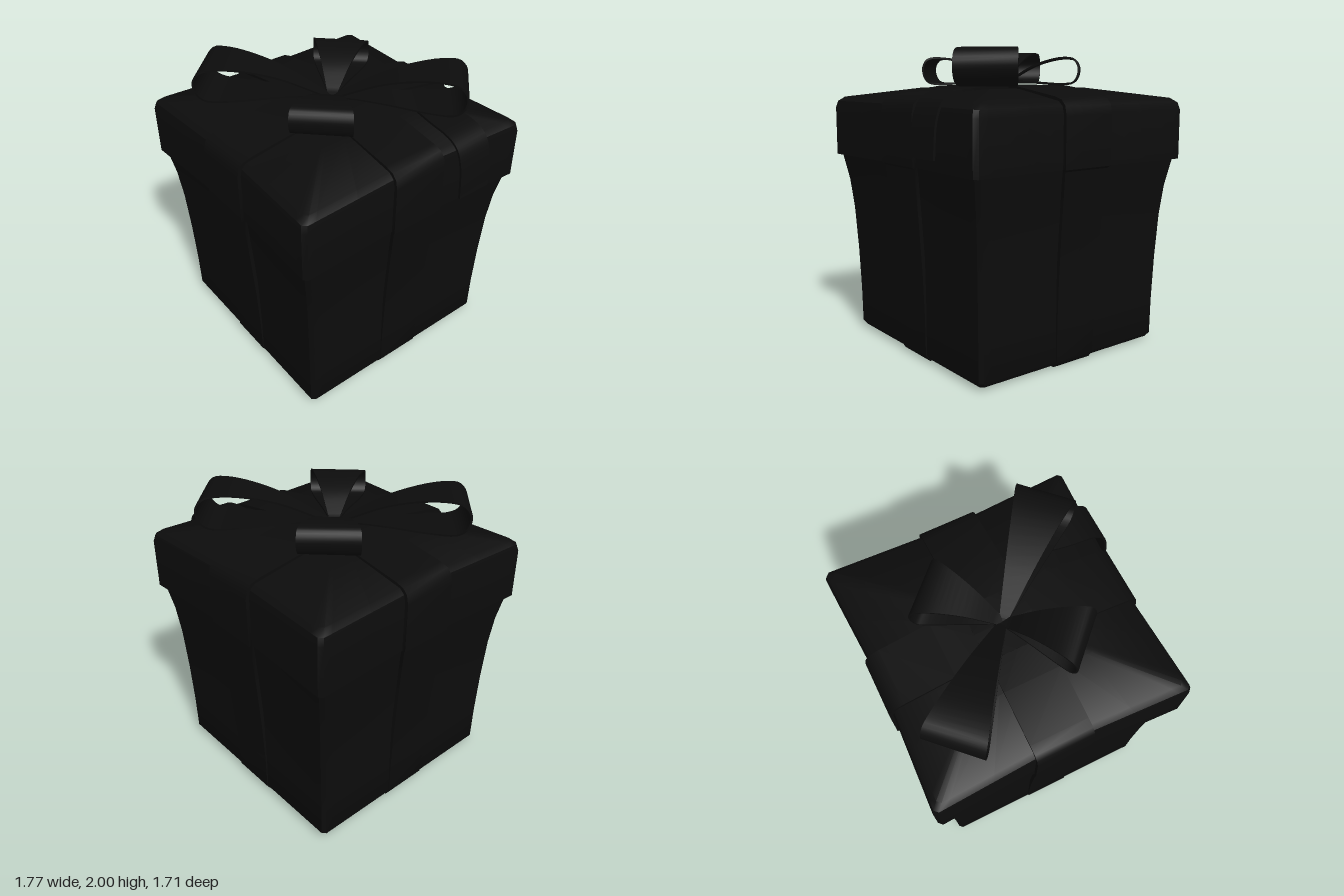
import * as THREE from 'three';
import { toCreasedNormals } from 'three/addons/utils/BufferGeometryUtils.js';

const material = new THREE.MeshStandardMaterial({ color: 0x0c0c0c, side: THREE.DoubleSide });

function makeMesh(name, positions, indices, crease = 0.6) {
  const g = new THREE.BufferGeometry();
  g.setAttribute('position', new THREE.Float32BufferAttribute(positions, 3));
  g.setIndex(indices);
  const mesh = new THREE.Mesh(toCreasedNormals(g, crease), material);
  mesh.name = name;
  return mesh;
}

// Stacks square rings [y, half size, pinch of the side middles] and caps both ends.
function squareLoft(name, rings, topY) {
  const steps = [-0.97, -0.9, -0.55, -0.22, 0.22, 0.55, 0.9, 0.97];
  const n = steps.length * 4;
  const pos = [], idx = [];
  for (const [y, half, pinch] of rings) {
    for (let side = 0; side < 4; side++) {
      for (const t of steps) {
        let x = t * half;
        let z = half - pinch * Math.min(1, (1 - Math.abs(t)) / 0.78);
        for (let k = 0; k < side; k++) [x, z] = [z, -x];
        pos.push(x, y, z);
      }
    }
  }
  const last = (rings.length - 1) * n;
  const bottom = rings.length * n;
  pos.push(0, rings[0][0], 0, 0, topY, 0);
  for (let j = 0; j < n; j++) {
    const k = (j + 1) % n;
    for (let i = 0; i < last; i += n) idx.push(i + j, i + k, i + n + k, i + j, i + n + k, i + n + j);
    idx.push(bottom, k, j, bottom + 1, last + j, last + k);
  }
  return makeMesh(name, pos, idx);
}

// Ribbon of a given thickness along points (x, y, half width).
function ribbon(name, pts, thickness, closed) {
  const n = pts.length, pos = [], idx = [];
  pts.forEach((p, i) => {
    const a = pts[closed ? (i + n - 1) % n : Math.max(i - 1, 0)];
    const b = pts[closed ? (i + 1) % n : Math.min(i + 1, n - 1)];
    const normal = new THREE.Vector2(a.y - b.y, b.x - a.x).normalize().multiplyScalar(thickness);
    const ix = p.x - normal.x, iy = p.y - normal.y;
    pos.push(p.x, p.y, -p.z, p.x, p.y, p.z, ix, iy, p.z, ix, iy, -p.z);
  });
  for (let i = 0; i < (closed ? n : n - 1); i++) {
    const s = i * 4, e = ((i + 1) % n) * 4;
    for (let k = 0; k < 4; k++) {
      const m = (k + 1) % 4;
      idx.push(s + k, s + m, e + m, s + k, e + m, e + k);
    }
  }
  if (!closed) {
    const e = (n - 1) * 4;
    idx.push(0, 2, 1, 0, 3, 2, e, e + 1, e + 2, e, e + 2, e + 3);
  }
  return makeMesh(name, pos, idx, 0.8);
}

const vec = (p) => new THREE.Vector3(...p);
const smooth = (pts, count) => new THREE.CatmullRomCurve3(pts.map(vec), false, 'centripetal').getPoints(count);

// Teardrop loop: out along the top, round the end, back underneath; widens outward.
function bowLoop(name, length, height, angle) {
  const profile = [
    [0, 0.02], [0.17, 0.33], [0.38, 0.68], [0.62, 0.92], [0.82, 1], [0.94, 0.93], [1, 0.65],
    [0.985, 0.28], [0.92, 0.06], [0.75, 0], [0.4, 0.06], [0.15, 0.06], [0, 0],
  ];
  const pts = profile.map(([r, h]) => [r * length, 1.768 + h * height, 0.025 + 0.165 * Math.min(1, r * 1.04)]);
  const loop = ribbon(name, smooth(pts, 40), 0.012, false);
  loop.rotation.y = angle;
  return loop;
}

export function createModel() {
  const model = new THREE.Group();
  model.name = 'giftBox';
  const box = new THREE.Group();
  box.name = 'wrappedBox';
  box.position.x = -0.03;
  model.add(box);

  // Body flaring toward the top
  box.add(squareLoft('boxBody', [
    [0.012, 0.69, 0], [0.02, 0.725, 0], [0.05, 0.745, 0], [0.3, 0.748, 0.003], [0.6, 0.757, 0.006],
    [0.9, 0.772, 0.01], [1.1, 0.792, 0.014], [1.28, 0.825, 0.02],
  ], 1.28));

  // Overhanging lid with a gently domed top
  box.add(squareLoft('lid', [
    [1.28, 0.8, 0.03], [1.28, 0.855, 0.033], [1.61, 0.854, 0.033], [1.655, 0.842, 0.032],
    [1.685, 0.805, 0.03], [1.75, 0.4, 0],
  ], 1.757));

  // Two straps crossing over the lid and under the base
  const half = [
    [0.4, 1.764, 0.19], [0.74, 1.712, 0.19], [0.8, 1.695, 0.19], [0.832, 1.66, 0.19], [0.845, 1.6, 0.19],
    [0.845, 1.28, 0.19], [0.825, 1.265, 0.175], [0.798, 0.95, 0.17], [0.772, 0.6, 0.165],
    [0.757, 0.3, 0.16], [0.752, 0.05, 0.155], [0.72, 0.004, 0.155],
  ];
  const path = [[0, 1.77, 0.19], ...half, [0, 0, 0.155],
    ...half.map(([x, y, w]) => [-x, y, w]).reverse()].map(vec);
  ['sideStrap', 'frontStrap'].forEach((name, i) => {
    const strap = ribbon(name, path, 0.025, true);
    strap.rotation.y = i * Math.PI / 2;
    box.add(strap);
  });

  // Bow: two long and two short loops on the diagonals
  const bow = new THREE.Group();
  bow.name = 'bow';
  for (let i = 0; i < 4; i++) {
    const long = i % 2 === 0;
    bow.add(bowLoop(long ? 'longLoop' : 'shortLoop', long ? 0.85 : 0.52, long ? 0.232 : 0.185, Math.PI / 4 + i * Math.PI / 2));
  }
  // Loose ribbon end draped over the lid edge
  const tail = ribbon('ribbonTail', smooth([
    [0.33, 1.768, 0.07], [0.6, 1.765, 0.12], [0.77, 1.74, 0.125], [0.85, 1.69, 0.125],
    [0.895, 1.58, 0.125], [0.915, 1.36, 0.125],
  ], 20), 0.015, false);
  tail.position.z = -0.405;
  bow.add(tail);
  box.add(bow);
  return model;
}
